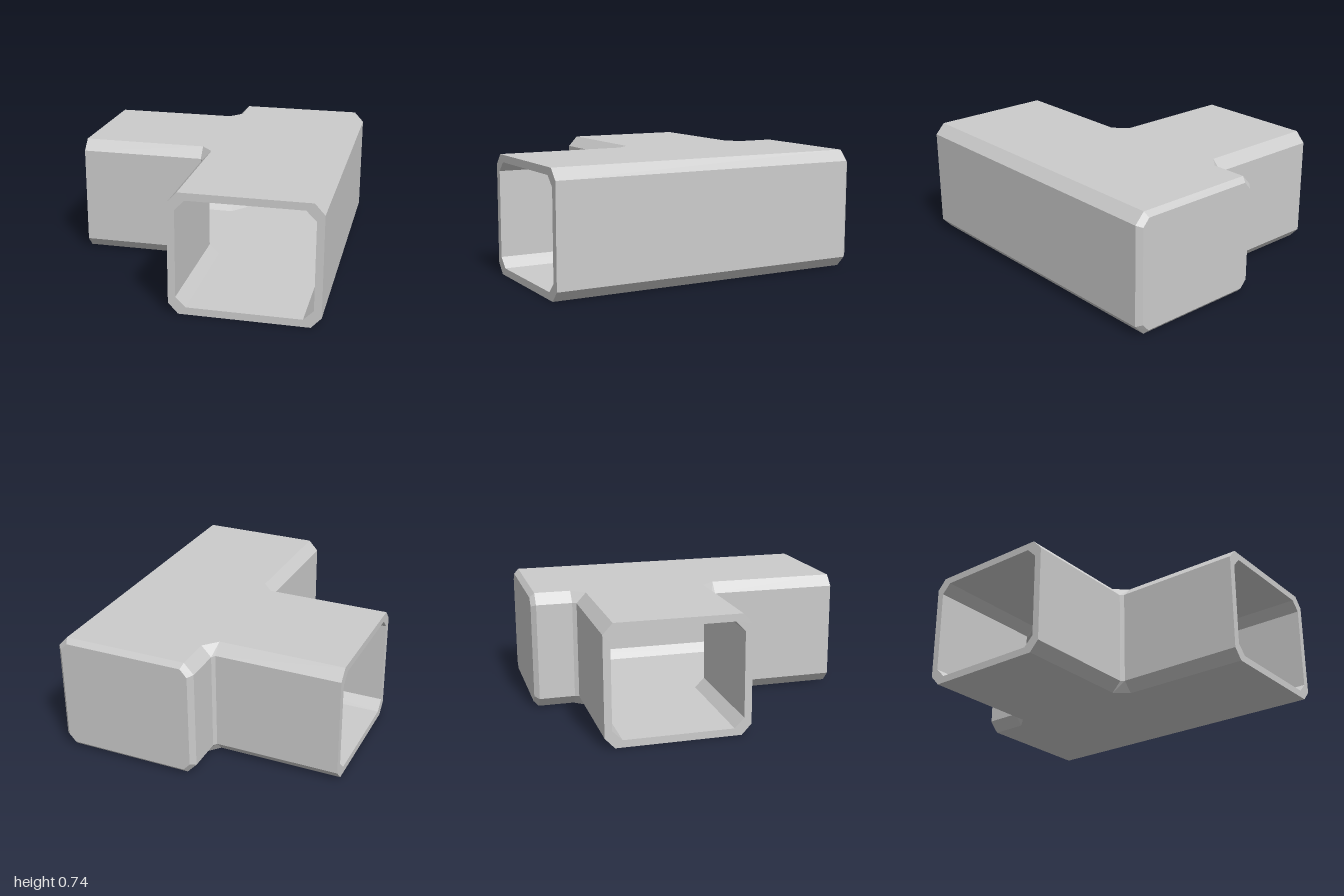
import * as THREE from 'three';

// Plan corners: [x, z, xAtTop, zAtTop], counterclockwise seen from above.
// The second pair is the corner drawn in by the long-edge chamfer.
function planOutline({ left, right, back, branch, neckX, neckZ, c }) {
  const mid = -0.2775; // branch centre line in z
  const f = s => mid + s;
  return [
    [right, 1, right - c, 1],
    [right, back, right - c, back],
    [left, back, left + c, back],
    [left, f(-neckZ), left + c, f(-neckZ)],
    [neckX, f(-branch), neckX, f(c - branch)],
    [-0.84, f(-branch), -0.84, f(c - branch)],
    [-0.84, f(branch), -0.84, f(branch - c)],
    [neckX, f(branch), neckX, f(branch - c)],
    [left, f(neckZ), left + c, f(neckZ)],
    [left, 1, left + c, 1],
  ];
}

const FRONT = 9, BACK = 1, BRANCH = 5; // outline edges that end a tube

// Four stacked points per plan corner: bottom, lower side, upper side, top
function columns(outline, y0, y1, c) {
  return outline.map(([x, z, tx, tz]) => [
    new THREE.Vector3(tx, y0, tz),
    new THREE.Vector3(x, y0 + c, z),
    new THREE.Vector3(x, y1 - c, z),
    new THREE.Vector3(tx, y1, tz),
  ]);
}

// Eight-sided section at a tube end
function section(cols, edge) {
  const a = cols[edge], b = cols[(edge + 1) % cols.length];
  return [a[0], b[0], b[1], b[2], b[3], a[3], a[2], a[1]];
}

// Triangle collector; flip turns faces inward
function collector(flip = false) {
  const pos = [];
  const tri = (a, b, c) => {
    for (const p of flip ? [a, c, b] : [a, b, c]) pos.push(p.x, p.y, p.z);
  };
  const quad = (a, b, c, d) => { tri(a, b, c); tri(a, c, d); };
  const ring = (outer, inner) => outer.forEach((p, i) => {
    const j = (i + 1) % outer.length;
    quad(p, outer[j], inner[j], inner[i]);
  });
  const geometry = () => {
    const g = new THREE.BufferGeometry();
    g.setAttribute('position', new THREE.Float32BufferAttribute(pos, 3));
    g.computeVertexNormals();
    return g;
  };
  return { tri, quad, ring, geometry };
}

// T-shaped shell with a bevelled closed end at the back
function shell(cols, bevel, flip) {
  const out = collector(flip);
  const n = cols.length;

  // Sides and long chamfers
  for (let i = 0; i < n; i++) {
    if (i === FRONT || i === BACK || i === BRANCH) continue;
    const a = cols[i], b = cols[(i + 1) % n];
    for (let k = 0; k < 3; k++) out.quad(a[k], b[k], b[k + 1], a[k + 1]);
  }

  // Flat top and bottom
  const flat = cols.map(p => new THREE.Vector2(p[3].x, -p[3].z));
  for (const [a, b, c] of THREE.ShapeUtils.triangulateShape(flat, [])) {
    out.tri(cols[a][3], cols[b][3], cols[c][3]);
    out.tri(cols[a][0], cols[c][0], cols[b][0]);
  }

  // Bevelled back end
  const end = section(cols, BACK);
  const centre = new THREE.Vector3();
  end.forEach(p => centre.addScaledVector(p, 1 / 8));
  const cap = end.map((p, i) => {
    const level = [0, 0, 1, 1, 0, 0, 1, 1][i]; // 0: on top or bottom, 1: on a side
    const dx = bevel * (level ? 1 : 0.41), dy = bevel * (level ? 0.41 : 1);
    return new THREE.Vector3(
      p.x + Math.sign(centre.x - p.x) * dx,
      p.y + Math.sign(centre.y - p.y) * dy,
      p.z - bevel);
  });
  out.ring(end, cap);
  for (let i = 1; i < 7; i++) out.tri(cap[0], cap[i], cap[i + 1]);
  return out.geometry();
}

export function createModel() {
  const group = new THREE.Group();
  group.name = 'teeDuct';
  const material = new THREE.MeshStandardMaterial({ color: 0xcccccc, flatShading: true });
  const add = (name, geometry) => {
    const mesh = new THREE.Mesh(geometry, material);
    mesh.name = name;
    group.add(mesh);
  };

  const outer = columns(planOutline({
    left: -0.05, right: 0.84, back: -0.97, branch: 0.4425, neckX: -0.065, neckZ: 0.4675, c: 0.06,
  }), 0, 0.74, 0.065);
  const inner = columns(planOutline({
    left: -0.005, right: 0.795, back: -0.935, branch: 0.3975, neckX: -0.04, neckZ: 0.4555, c: 0.06,
  }), 0.045, 0.695, 0.06);

  add('outerShell', shell(outer, 0.03, false));
  add('innerLining', shell(inner, 0.02, true));

  // Rims joining the shell and lining at the two open mouths
  for (const [name, edge] of [['frontRim', FRONT], ['branchRim', BRANCH]]) {
    const rim = collector();
    rim.ring(section(outer, edge), section(inner, edge));
    add(name, rim.geometry());
  }
  return group;
}
